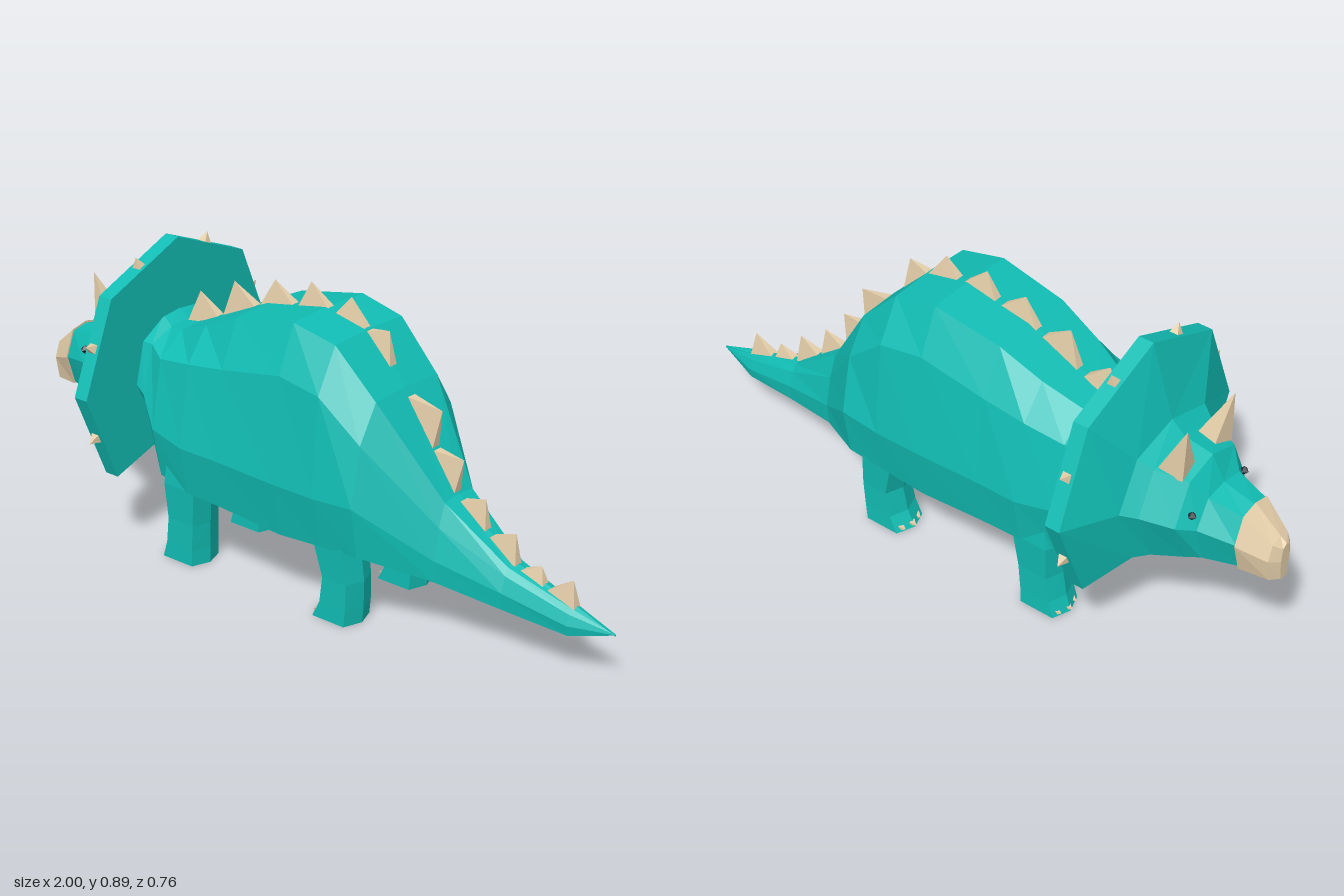
import * as THREE from 'three';

const skin = new THREE.MeshStandardMaterial({ color: 0x11bdb4, flatShading: true });
const horn = new THREE.MeshStandardMaterial({ color: 0xe3cda8, flatShading: true });
const dark = new THREE.MeshStandardMaterial({ color: 0x1c2a33, flatShading: true });

// Skin between rings of equal size, capped at both ends.
// Each ring runs counter-clockwise seen from the end of the loft.
function loft(rings) {
  const pos = [];
  const tri = (a, b, c) => pos.push(...a, ...b, ...c);
  const n = rings[0].length;
  const centre = r => [0, 1, 2].map(k => r.reduce((s, p) => s + p[k], 0) / n);
  const first = rings[0], last = rings[rings.length - 1];
  const c0 = centre(first), c1 = centre(last);
  for (let j = 0; j < n; j++) {
    const k = (j + 1) % n;
    for (let i = 0; i < rings.length - 1; i++) {
      const a = rings[i], b = rings[i + 1];
      tri(a[j], a[k], b[k]);
      tri(a[j], b[k], b[j]);
    }
    tri(c0, first[k], first[j]);
    tri(c1, last[j], last[k]);
  }
  const g = new THREE.BufferGeometry();
  g.setAttribute('position', new THREE.Float32BufferAttribute(pos, 3));
  g.computeVertexNormals();
  return g;
}

// Mirror a half outline of [z, y] points, top to bottom, into a ring at x
function ring(x, half) {
  const left = half.map(([z, y]) => [x, y, z]);
  const right = half.filter(p => p[0] > 0).reverse().map(([z, y]) => [x, y, -z]);
  return [...left, ...right];
}

// Four-sided spike: base half-size (u along, v across), from base to tip
function spike(base, tip, u, v) {
  const dir = new THREE.Vector3().subVectors(tip, base);
  const h = dir.length();
  const g = new THREE.ConeGeometry(Math.SQRT2, h, 4, 1).rotateY(Math.PI / 4);
  g.translate(0, h / 2, 0).scale(u, 1, v);
  g.applyQuaternion(new THREE.Quaternion().setFromUnitVectors(new THREE.Vector3(0, 1, 0), dir.normalize()));
  return g.translate(base.x, base.y, base.z);
}

export function createModel() {
  const model = new THREE.Group();
  const add = (name, geometry, material = skin) => {
    const m = new THREE.Mesh(geometry, material);
    m.name = name;
    model.add(m);
    return m;
  };
  const V = (x, y, z) => new THREE.Vector3(x, y, z);

  // Body and tail: x, top y, top half-width, shoulder z y, flank z y, belly z y
  const sections = [
    [-0.52, 0.68, 0.06, 0.15, 0.62, 0.18, 0.5, 0.1, 0.36],
    [-0.48, 0.655, 0.07, 0.15, 0.62, 0.19, 0.48, 0.11, 0.31],
    [-0.42, 0.665, 0.09, 0.18, 0.6, 0.22, 0.4, 0.19, 0.25],
    [-0.3, 0.72, 0.12, 0.195, 0.62, 0.235, 0.38, 0.21, 0.235],
    [-0.17, 0.78, 0.135, 0.2, 0.64, 0.235, 0.38, 0.21, 0.23],
    [0.04, 0.82, 0.145, 0.205, 0.68, 0.238, 0.375, 0.21, 0.215],
    [0.18, 0.79, 0.14, 0.21, 0.66, 0.238, 0.375, 0.21, 0.225],
    [0.31, 0.66, 0.13, 0.195, 0.55, 0.23, 0.38, 0.205, 0.23],
    [0.49, 0.4, 0.06, 0.085, 0.33, 0.105, 0.24, 0.1, 0.175],
    [0.68, 0.26, 0.03, 0.045, 0.235, 0.06, 0.19, 0.055, 0.14],
    [0.87, 0.2, 0.015, 0.025, 0.18, 0.035, 0.15, 0.03, 0.12],
    [1.0, 0.157, 0.001, 0.002, 0.156, 0.002, 0.155, 0.001, 0.154],
  ];
  add('bodyAndTail', loft(sections.map(([x, t, tw, sz, sy, fz, fy, bz, by]) =>
    ring(x, [[0, t], [tw, t - 0.006], [sz, sy], [fz, fy], [bz, by], [0, by]]))));

  // Neck frill: an eight-sided plate with a sloping front
  const plate = [[0, 0.89], [0.27, 0.78], [0.38, 0.51], [0.27, 0.243], [0, 0.33]];
  const headBack = [[0, 0.68], [0.15, 0.64], [0.22, 0.5], [0.15, 0.31], [0, 0.31]];
  add('frill', loft([ring(-0.63, headBack), ring(-0.56, plate), ring(-0.514, plate)]));

  // Head
  const muzzle = [[0, 0.535], [0.05, 0.525], [0.08, 0.45], [0.055, 0.365], [0, 0.362]];
  add('head', loft([
    ring(-0.9, muzzle),
    ring(-0.8, [[0, 0.56], [0.07, 0.55], [0.115, 0.47], [0.085, 0.36], [0, 0.358]]),
    ring(-0.76, [[0, 0.63], [0.1, 0.6], [0.155, 0.48], [0.1, 0.35], [0, 0.35]]),
    ring(-0.67, [[0, 0.645], [0.13, 0.615], [0.19, 0.49], [0.125, 0.325], [0, 0.325]]),
    ring(-0.63, headBack),
  ]));

  // Beak
  add('beak', loft([
    ring(-1.0, [[0, 0.46], [0.015, 0.45], [0.02, 0.41], [0.015, 0.35], [0, 0.345]]),
    ring(-0.98, [[0, 0.475], [0.035, 0.465], [0.052, 0.42], [0.04, 0.352], [0, 0.35]]),
    ring(-0.898, [[0, 0.542], [0.054, 0.53], [0.086, 0.45], [0.06, 0.36], [0, 0.358]]),
  ]), horn);

  // Back spikes: base front x, base rear x, tip x, tip y
  const backSpikes = [
    [-0.47, -0.35, -0.43, 0.75], [-0.335, -0.21, -0.3, 0.81], [-0.2, -0.07, -0.15, 0.85],
    [-0.06, 0.06, -0.02, 0.875], [0.07, 0.18, 0.12, 0.865], [0.17, 0.265, 0.25, 0.8],
    [0.32, 0.41, 0.43, 0.62], [0.41, 0.485, 0.505, 0.5], [0.5, 0.59, 0.58, 0.41],
    [0.6, 0.69, 0.68, 0.342], [0.7, 0.78, 0.765, 0.275], [0.79, 0.88, 0.865, 0.267],
  ];
  const backY = x => {
    const i = sections.findIndex(s => s[0] > x);
    const [a, b] = [sections[i - 1], sections[i]];
    return a[1] + (b[1] - a[1]) * (x - a[0]) / (b[0] - a[0]) - 0.008;
  };
  for (const [x0, x1, tx, ty] of backSpikes) {
    const w = 0.015, y0 = backY(x0), y1 = backY(x1);
    const tip = [tx, ty, 0];
    add('backSpike', loft([
      [[x0, y0, w], [x1, y1, w], [x1, y1, -w], [x0, y0, -w]],
      [tip, tip, tip, tip],
    ]), horn);
  }

  for (const s of [1, -1]) {
    const side = s > 0 ? 'left' : 'right';

    // Brow horn, leaning forward and outward
    const h = (x, y, z) => [x, y, s * z];
    const base = [h(-0.745, 0.6, 0.11), h(-0.665, 0.6, 0.12), h(-0.665, 0.61, 0.045), h(-0.735, 0.61, 0.04)];
    if (s < 0) base.reverse();
    const tip = h(-0.748, 0.76, 0.105);
    add(side + 'BrowHorn', loft([base, [tip, tip, tip, tip]]), horn);

    // Eye
    add(side + 'Eye', new THREE.OctahedronGeometry(0.014), dark).position.set(-0.785, 0.515, s * 0.118);

    // Small spikes at the middle of the frill's rim edges
    for (let i = 0; i < 3; i++) {
      const [z0, y0] = plate[i], [z1, y1] = plate[i + 1];
      const len = Math.hypot(z1 - z0, y1 - y0);
      const nz = (y0 - y1) / len, ny = (z1 - z0) / len;
      const z = (z0 + z1) / 2, y = (y0 + y1) / 2;
      add(side + 'FrillSpike', spike(V(-0.537, y, s * z),
        V(-0.537, y + ny * 0.03, s * (z + nz * 0.03)), 0.013, 0.013), horn);
    }

    // Legs: y, front x, rear x, centre z, half-width
    const legs = {
      FrontLeg: [[0, -0.43, -0.28, 0.143, 0.056], [0.05, -0.415, -0.278, 0.143, 0.056],
        [0.13, -0.405, -0.272, 0.147, 0.054], [0.24, -0.41, -0.258, 0.155, 0.054], [0.32, -0.4, -0.26, 0.155, 0.05]],
      HindLeg: [[0, 0.13, 0.28, 0.143, 0.056], [0.05, 0.155, 0.285, 0.143, 0.056],
        [0.13, 0.167, 0.29, 0.147, 0.054], [0.24, 0.14, 0.283, 0.155, 0.054], [0.32, 0.14, 0.28, 0.155, 0.05]],
    };
    for (const [name, rows] of Object.entries(legs)) {
      add(side + name, loft(rows.map(([y, x0, x1, cz, w]) => {
        const z = s * cz;
        return [[x0 + 0.02, y, z + w], [x1 - 0.02, y, z + w], [x1, y, z],
          [x1 - 0.02, y, z - w], [x0 + 0.02, y, z - w], [x0, y, z]];
      })));
      // Toenails
      for (const t of [-1, 0, 1]) {
        const x = rows[0][1] + Math.abs(t) * 0.012, z = s * 0.143 + t * 0.034;
        add(side + name + 'Toenail', spike(V(x + 0.012, 0.01, z), V(x - 0.006, 0.008, z), 0.008, 0.011), horn);
      }
    }
  }
  return model;
}
